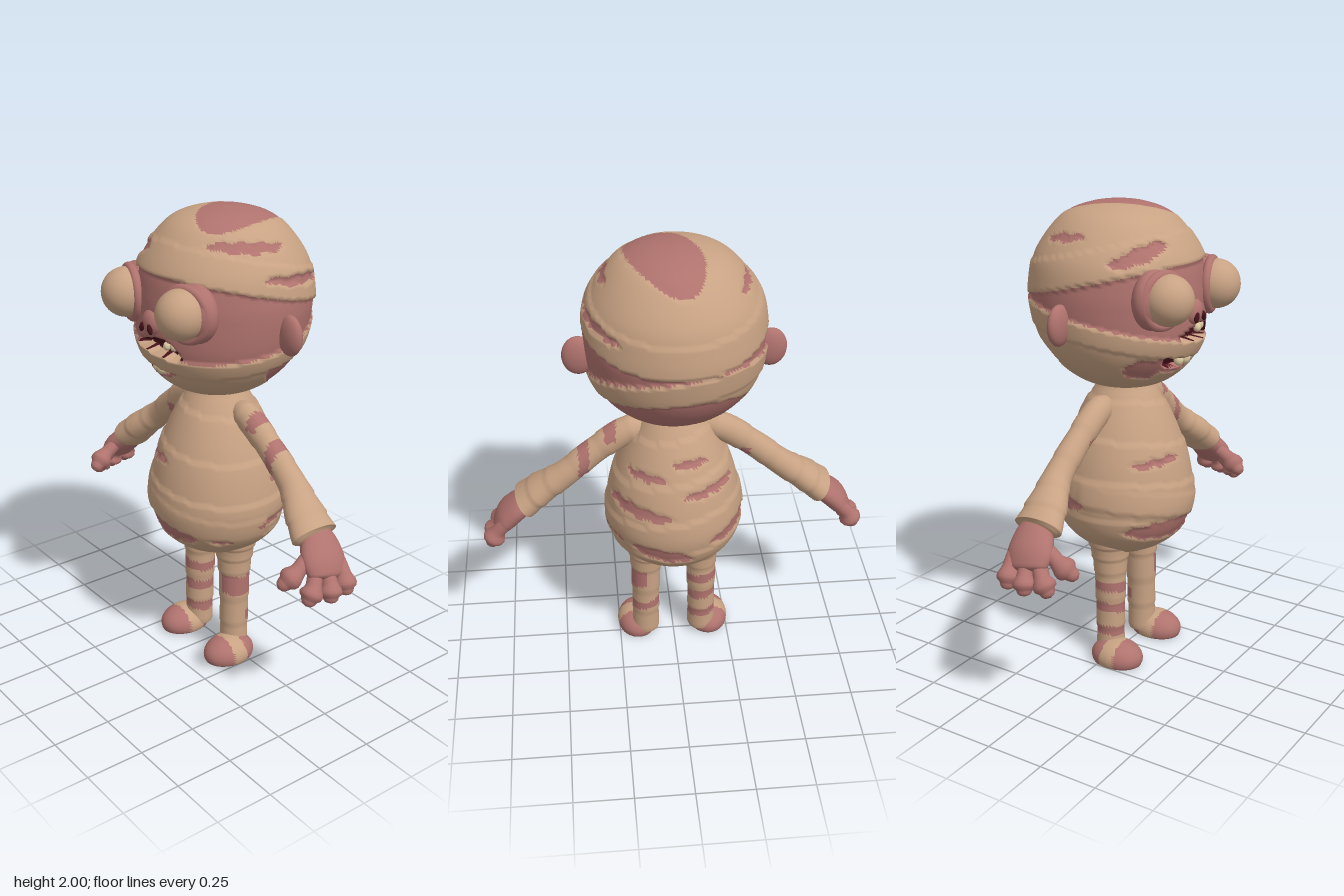
import * as THREE from 'three';
import { mergeVertices } from 'three/addons/utils/BufferGeometryUtils.js';

const mat = (name, color) => Object.assign(new THREE.MeshStandardMaterial({ color }), { name });

export function createModel() {
  const bandage = mat('bandage', 0xc8a283), skin = mat('skin', 0xb0736e);
  const dark = mat('mouthDark', 0x45131a), ivory = mat('teeth', 0xdcc9a0);
  const palette = [bandage, skin, dark];
  const BANDAGE = 0, SKIN = 1, DARK = 2;
  const model = new THREE.Group();
  model.name = 'wrappedFigure';

  const add = (name, geo, material) => {
    const mesh = new THREE.Mesh(geo, material);
    mesh.name = name;
    model.add(mesh);
    return mesh;
  };

  // Sort the faces into one group per colour; rule(x, y, z) gives the colour at a face centre
  const paint = (geo, rule) => {
    const p = geo.attributes.position, idx = geo.index.array, sets = [[], [], []];
    for (let i = 0; i < idx.length; i += 3) {
      const t = [idx[i], idx[i + 1], idx[i + 2]];
      const mid = (get) => t.reduce((s, k) => s + p[get](k), 0) / 3;
      sets[rule(mid('getX'), mid('getY'), mid('getZ'))].push(...t);
    }
    geo.clearGroups();
    geo.setIndex(sets.flat());
    let start = 0;
    sets.forEach((s, m) => { if (s.length) geo.addGroup(start, s.length, m); start += s.length; });
    return geo;
  };

  // Round body from a profile of [radius, y], shifted in z, with wrappings pushed outwards
  const turned = (profile, rows, cols, shiftZ, rule, lift) => {
    const curve = new THREE.SplineCurve(profile.map(([r, y]) => new THREE.Vector2(r, y)));
    const pts = curve.getSpacedPoints(rows).map((v) => new THREE.Vector2(Math.max(v.x, 0), v.y));
    let geo = new THREE.LatheGeometry(pts, cols);
    geo.deleteAttribute('uv');
    geo.deleteAttribute('normal');
    geo = mergeVertices(geo, 1e-5);
    const p = geo.attributes.position;
    for (let i = 0; i < p.count; i++) {
      const x = p.getX(i), y = p.getY(i), z = p.getZ(i), sz = z + shiftZ(y);
      const k = 1 + lift(x, y, sz) / Math.max(Math.hypot(x, z), 0.15);
      p.setXYZ(i, x * k, y, z * k + shiftZ(y));
    }
    geo.computeVertexNormals();
    return paint(geo, rule);
  };

  // Limb through sections [x, y, z, thickness, depth along z]
  const loft = (sections, steps, sides, ridges = 0) => {
    const path = new THREE.CatmullRomCurve3(sections.map((s) => new THREE.Vector3(s[0], s[1], s[2])));
    const size = new THREE.CatmullRomCurve3(sections.map((s) => new THREE.Vector3(s[3], s[4], 0)));
    const pos = [], index = [];
    for (let i = 0; i <= steps; i++) {
      const t = i / steps, c = path.getPoint(t), r = size.getPoint(t), T = path.getTangent(t);
      const u = new THREE.Vector3(0, 0, 1).addScaledVector(T, -T.z).normalize();
      const v = T.clone().cross(u);
      const k = 1 + (ridges ? 0.07 * ((t * ridges) % 1) : 0);
      for (let j = 0; j < sides; j++) {
        const a = (j / sides) * Math.PI * 2;
        const q = c.clone().addScaledVector(u, Math.cos(a) * r.y * k).addScaledVector(v, Math.sin(a) * r.x * k);
        pos.push(q.x, q.y, q.z);
        if (i === steps) continue;
        const A = i * sides + j, B = i * sides + ((j + 1) % sides);
        index.push(A, B, A + sides, B, B + sides, A + sides);
      }
    }
    const geo = new THREE.BufferGeometry();
    geo.setAttribute('position', new THREE.Float32BufferAttribute(pos, 3));
    geo.setIndex(index);
    geo.computeVertexNormals();
    return geo;
  };

  const ball = (name, material, [x, y, z], [a, b, c], seg = 24) => {
    const mesh = add(name, new THREE.SphereGeometry(1, seg, Math.round(seg * 0.7)), material);
    mesh.scale.set(a, b, c);
    mesh.position.set(x, y, z);
    return mesh;
  };

  // Torn gaps: [angle from the front in degrees, y, half angle, half height, slope]
  const torn = (spots, x, y, z) => spots.some(([deg, y0, w, h, slope]) => {
    let d = THREE.MathUtils.radToDeg(Math.atan2(x, z)) - deg;
    d = (((d + 180) % 360) + 360) % 360 - 180;
    const dy = y - y0 - (slope * d) / w + 0.004 * Math.sin(d * 0.35);
    return (d / w) ** 2 + (dy / h) ** 2 < 1;
  });

  // Head: crown wrap, bare face, slanted mouth strip and wrapped jaw
  const headSpots = [[72, 1.885, 34, 0.02, -0.01], [110, 1.745, 31, 0.02, -0.025], [-42, 1.82, 22, 0.03, 0.035],
    [-105, 1.87, 20, 0.016, 0.01], [165, 1.37, 78, 0.115, 0.0], [-38, 1.36, 16, 0.045, 0]];
  const stripY = (x, z) => 1.47 - 0.13 * x - 0.16 * z;
  const stripHalf = (z) => 0.04 - 0.035 * Math.min(z, 0);
  const inStrip = (x, y, z) => Math.abs(y - stripY(x, z)) < stripHalf(z);
  const crownEdge = (x, z) => 1.70 + 0.24 * z;
  const mouth = (x, y, z, grow) => z > 0.1
    && (x / (0.145 + grow)) ** 2 + ((y - 1.435 - 0.2 * x) / (0.078 + grow)) ** 2 < 1;
  const headRule = (x, y, z) => {
    const a = x - 0.045, b = z + 0.08, c = 0.93, s = 0.36;
    if (y > 1.85 && ((a * c - b * s) / 0.135) ** 2 + ((a * s + b * c) / 0.24) ** 2 < 1) return SKIN;
    if (y > crownEdge(x, z)) return torn(headSpots, x, y, z + 0.04) ? SKIN : BANDAGE;
    if (inStrip(x, y, z)) return BANDAGE;
    if (mouth(x, y, z, 0)) return DARK;
    if (y > stripY(x, z) || mouth(x, y, z, 0.022)) return SKIN;
    return torn(headSpots, x, y, z + 0.04) ? SKIN : BANDAGE;
  };
  const headLift = (x, y, z) => {
    if (inStrip(x, y, z)) return 0.012;
    const c = headRule(x, y, z);
    if (c === DARK) return -0.045;
    if (c === SKIN) return 0;
    const e = y - crownEdge(x, z);
    return e > 0 && e < 0.13 ? 0.012 : 0.006;
  };
  add('head', turned([[0.0, 1.235], [0.11, 1.24], [0.2, 1.275], [0.285, 1.35], [0.342, 1.45], [0.362, 1.57], [0.36, 1.68],
    [0.33, 1.8], [0.23, 1.93], [0.12, 1.98], [0, 1.995]], 110, 160,
  (y) => -0.04 + 0.1 * Math.max(0, 1.6 - y), headRule, headLift), palette);

  // Torso: pear shape with slanted wraps
  const bodySpots = [[-28, 0.945, 27, 0.015, 0.008], [-12, 0.645, 48, 0.045, -0.01], [65, 0.665, 18, 0.045, 0.02],
    [145, 1.02, 24, 0.017, 0], [140, 0.87, 34, 0.026, -0.012], [108, 0.69, 22, 0.016, 0.01],
    [195, 1.08, 22, 0.016, 0], [215, 0.96, 32, 0.018, 0.01], [235, 0.74, 30, 0.028, 0.02], [165, 0.67, 26, 0.035, -0.02]];
  const belt = (x, y) => Math.abs(y - 0.735 + 0.24 * x) < 0.05;
  const bodyRule = (x, y, z) => (!(belt(x, y) && z > 0) && torn(bodySpots, x, y, z) ? SKIN : BANDAGE);
  const bodyLift = (x, y, z) => {
    if (belt(x, y) && z > -0.05) return 0.012;
    return bodyRule(x, y, z) === SKIN ? 0 : 0.004 + 0.007 * ((((y + 0.15 * x) * 6) % 1 + 1) % 1);
  };
  add('torso', turned([[0, 0.49], [0.12, 0.505], [0.2, 0.55], [0.262, 0.62], [0.29, 0.71], [0.29, 0.79], [0.268, 0.9],
    [0.235, 1.0], [0.19, 1.1], [0.14, 1.19], [0.11, 1.24], [0.1, 1.28]], 80, 112,
  () => -0.008, bodyRule, bodyLift), palette);

  for (const s of [1, -1]) {
    const side = s > 0 ? 'left' : 'right';
    const mir = (rows) => rows.map(([x, ...rest]) => [x * s, ...rest]);

    // Arm with a flared cuff
    const armRule = (x, y) => (s > 0
      ? Math.abs(x - 0.385) < 0.022 || (Math.abs(x - 0.27) < 0.025 && y > 1.12)
      : Math.abs(x + 0.3) < 0.02 && y < 1.06) ? SKIN : BANDAGE;
    add(side + 'Arm', paint(loft(mir([[0.1, 1.17, -0.02, 0.03, 0.03], [0.2, 1.145, -0.02, 0.06, 0.055], [0.33, 1.06, -0.025, 0.055, 0.052],
      [0.47, 0.945, -0.03, 0.056, 0.058], [0.57, 0.865, -0.01, 0.062, 0.085], [0.645, 0.8, 0.0, 0.064, 0.1],
      [0.66, 0.79, 0.0, 0.03, 0.05]]), 60, 28, 7), armRule), palette);

    // Hand and fingers
    add(side + 'Hand', loft(mir([[0.62, 0.82, 0, 0.04, 0.06], [0.67, 0.775, 0.0, 0.05, 0.085], [0.72, 0.725, 0.015, 0.052, 0.098],
      [0.755, 0.675, 0.025, 0.04, 0.085], [0.765, 0.655, 0.03, 0.001, 0.001]]), 24, 24), skin);
    const fingers = [[[0.735, 0.71, -0.05], [0.805, 0.59, -0.035]], [[0.745, 0.69, 0.02], [0.8, 0.58, 0.045]],
      [[0.735, 0.69, 0.07], [0.765, 0.585, 0.14]], [[0.69, 0.735, 0.08], [0.675, 0.645, 0.205]]];
    fingers.forEach(([a, b], i) => {
      const at = (t, r) => [a[0] + (b[0] - a[0]) * t + 0.012 * Math.sin(t * Math.PI), a[1] + (b[1] - a[1]) * t,
        a[2] + (b[2] - a[2]) * t, r, r];
      add(`${side}Finger${i + 1}`, loft(mir([at(0, 0.03), at(0.4, 0.033), at(0.8, 0.033), at(0.97, 0.022), at(1.03, 0.001)]), 18, 14), skin);
    });

    // Leg with torn rings
    const legRule = (x, y, z) => {
      const h = y + 0.15 * (x - s * 0.13);
      const gap = s > 0
        ? (Math.abs(h - 0.36) < 0.045 && x > 0.125) || (Math.abs(h - 0.2) < 0.02 && z < -0.02)
        : Math.abs(h - 0.345) < 0.022 || Math.abs(h - 0.245) < 0.022 || Math.abs(h - 0.135) < 0.022;
      return gap ? SKIN : BANDAGE;
    };
    add(side + 'Leg', paint(loft(mir([[0.12, 0.58, -0.01, 0.1, 0.1], [0.122, 0.5, -0.008, 0.08, 0.08], [0.125, 0.4, -0.005, 0.066, 0.068],
      [0.128, 0.2, -0.003, 0.06, 0.062], [0.13, 0.03, 0, 0.06, 0.058]]), 48, 28, 6), legRule), palette);

    // Foot: flat-soled, wrapped across the instep
    const foot = new THREE.SphereGeometry(1, 36, 26).scale(0.093, 0.075, 0.12).translate(s * 0.165, 0.028, 0.055);
    const fp = foot.attributes.position;
    for (let i = 0; i < fp.count; i++) fp.setY(i, Math.max(fp.getY(i), 0));
    foot.computeVertexNormals();
    add(side + 'Foot', paint(foot, (x, y, z) => (z > 0.02 && z < 0.085 && y > 0.002 ? BANDAGE : SKIN)), palette);

    // Ear
    ball(side + 'Ear', skin, [s * 0.385, 1.545, -0.07], [0.067, 0.084, 0.034]);

    // Bulging eye, socket and lid ring
    ball(side + 'EyeSocket', skin, [s * 0.19, 1.65, 0.245], [0.122, 0.122, 0.07]);
    ball(side + 'Eye', bandage, [s * 0.19, 1.655, 0.312], [0.102, 0.102, 0.102], 32);
    const lid = add(side + 'EyeLid', new THREE.TorusGeometry(0.102, 0.02, 12, 40), skin);
    lid.position.set(s * 0.19, 1.65, 0.288);
    lid.rotation.y = s * 0.3;

    // Nostril
    ball(side + 'Nostril', dark, [s * 0.027, 1.558, 0.347], [0.012, 0.022, 0.01], 16).rotation.z = s * 0.4;
  }

  // Nose
  ball('nose', skin, [0, 1.575, 0.31], [0.058, 0.055, 0.04]);

  // Teeth
  [[-0.035, 1.375, 0.27, 0.02], [0.005, 1.378, 0.275, 0.024], [0.048, 1.388, 0.273, 0.02], [0.105, 1.497, 0.285, 0.018], [0.07, 1.492, 0.295, 0.016]]
    .forEach(([x, y, z, r], i) => ball('tooth' + (i + 1), ivory, [x, y, z], [r, r * 1.15, r], 16));

  return model;
}
